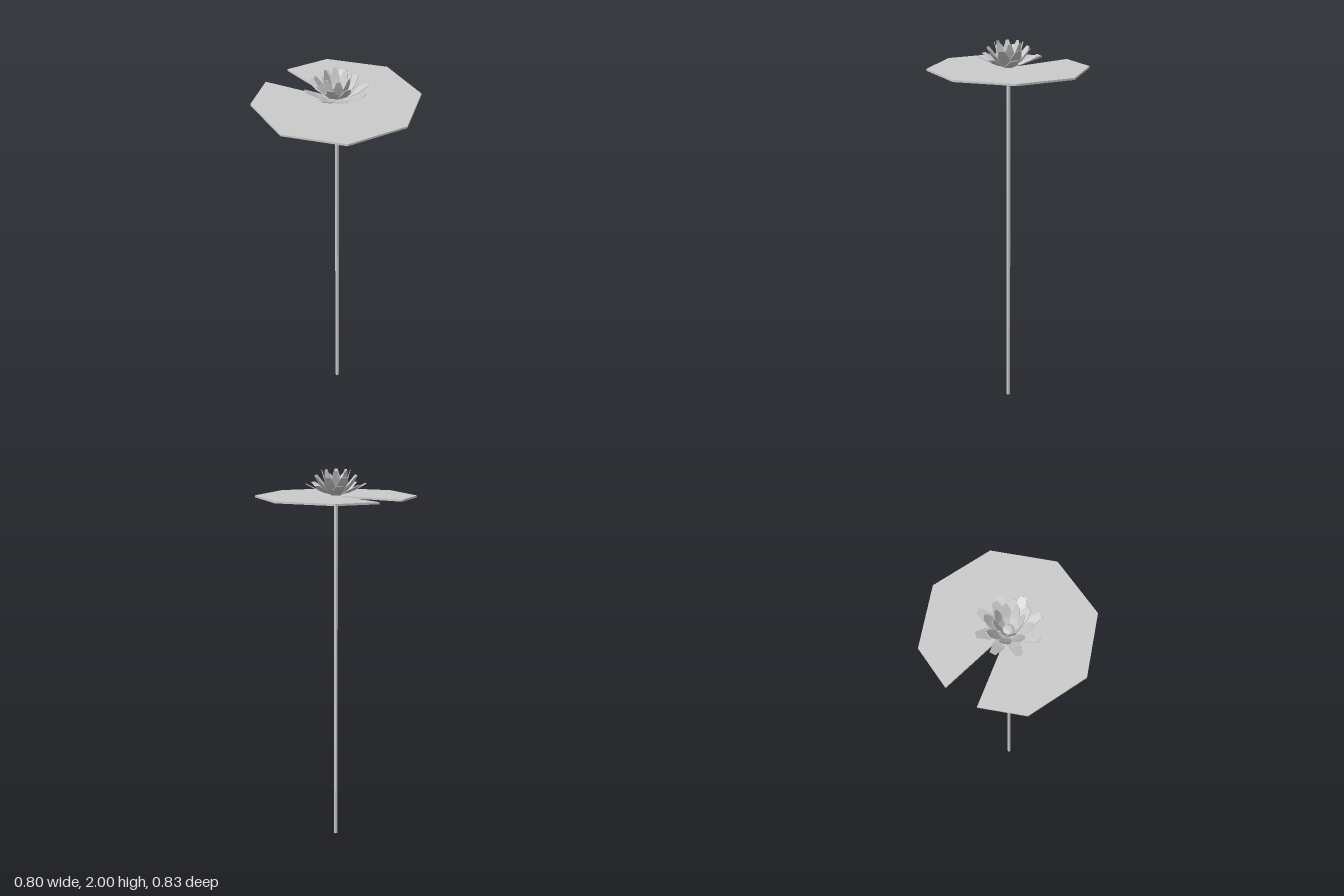
import * as THREE from 'three';

const CENTRE_X = -0.017;
const material = new THREE.MeshStandardMaterial({ color: 0xcccccc, flatShading: true, side: THREE.DoubleSide });

function part(name, geometry) {
  const mesh = new THREE.Mesh(geometry, material);
  mesh.name = name;
  return mesh;
}

// Petal: a thin slab bent along stations of [radius, height, half width]
function petalGeometry(stations, thickness) {
  const n = stations.length - 1;
  const geometry = new THREE.BoxGeometry(2, 1, 1, 1, 1, n);
  const pos = geometry.attributes.position;
  for (let i = 0; i < pos.count; i++) {
    const k = Math.round((pos.getZ(i) + 0.5) * n);
    const [r, y, halfWidth] = stations[k];
    const a = stations[Math.max(k - 1, 0)];
    const b = stations[Math.min(k + 1, n)];
    const slope = Math.atan2(b[1] - a[1], b[0] - a[0]);
    // the inner face sits on the stations, the outer face is offset from it
    const offset = pos.getY(i) < 0 ? thickness : 0;
    pos.setXYZ(i, pos.getX(i) * halfWidth, y - Math.cos(slope) * offset, r + Math.sin(slope) * offset);
  }
  geometry.computeVertexNormals();
  return geometry;
}

function petalRing(name, count, startDegrees, stations) {
  const ring = new THREE.Group();
  ring.name = name;
  const geometry = petalGeometry(stations, 0.003);
  for (let i = 0; i < count; i++) {
    const petal = part('petal', geometry);
    petal.rotation.y = THREE.MathUtils.degToRad(startDegrees + 90 + (i * 360) / count);
    ring.add(petal);
  }
  return ring;
}

export function createModel() {
  const model = new THREE.Group();
  model.name = 'waterLily';
  const plant = new THREE.Group();
  plant.name = 'plant';
  plant.position.x = CENTRE_X;
  model.add(plant);

  // Stem
  const stem = part('stem', new THREE.CylinderGeometry(0.01, 0.01, 1.865, 8));
  stem.position.y = 1.865 / 2;
  plant.add(stem);

  // Octagonal leaf with a wedge cut towards the centre
  const R = 0.414;
  const outline = [[0, 0], [-0.381, 0.083]];
  for (let i = 3; i >= -3; i--) {
    outline.push([R * Math.cos((i * Math.PI) / 4), R * Math.sin((i * Math.PI) / 4)]);
  }
  outline.push([-0.381, -0.083]);
  const shape = new THREE.Shape(outline.map(([x, y]) => new THREE.Vector2(x, y)));
  const leafGeometry = new THREE.ExtrudeGeometry(shape, { depth: 0.01, bevelEnabled: false });
  leafGeometry.rotateX(-Math.PI / 2);
  const leaf = part('leaf', leafGeometry);
  leaf.position.y = 1.861;
  plant.add(leaf);

  // Flower: three rings of petals, steeper towards the middle
  const flower = new THREE.Group();
  flower.name = 'flower';
  flower.add(
    petalRing('outerPetals', 8, 6, [
      [0.02, 1.879, 0.01], [0.06, 1.889, 0.024], [0.1, 1.905, 0.028], [0.153, 1.932, 0.015],
    ]),
    petalRing('middlePetals', 8, 22, [
      [0.02, 1.881, 0.01], [0.054, 1.902, 0.025], [0.083, 1.935, 0.028], [0.11, 1.972, 0.014],
    ]),
    petalRing('innerPetals', 8, 0, [
      [0.024, 1.883, 0.011], [0.045, 1.918, 0.022], [0.058, 1.957, 0.022], [0.071, 2.0, 0.007],
    ]),
  );

  // Shallow cup under the petals, and the small rounded heart inside
  const cup = part('cup', new THREE.CylinderGeometry(0.045, 0.024, 0.014, 8));
  cup.position.y = 1.879;
  const heart = part('heart', new THREE.SphereGeometry(0.027, 8, 3, 0, Math.PI * 2, 0, Math.PI / 2));
  heart.scale.y = 0.4;
  heart.position.y = 1.885;
  flower.add(cup, heart);
  plant.add(flower);

  return model;
}
